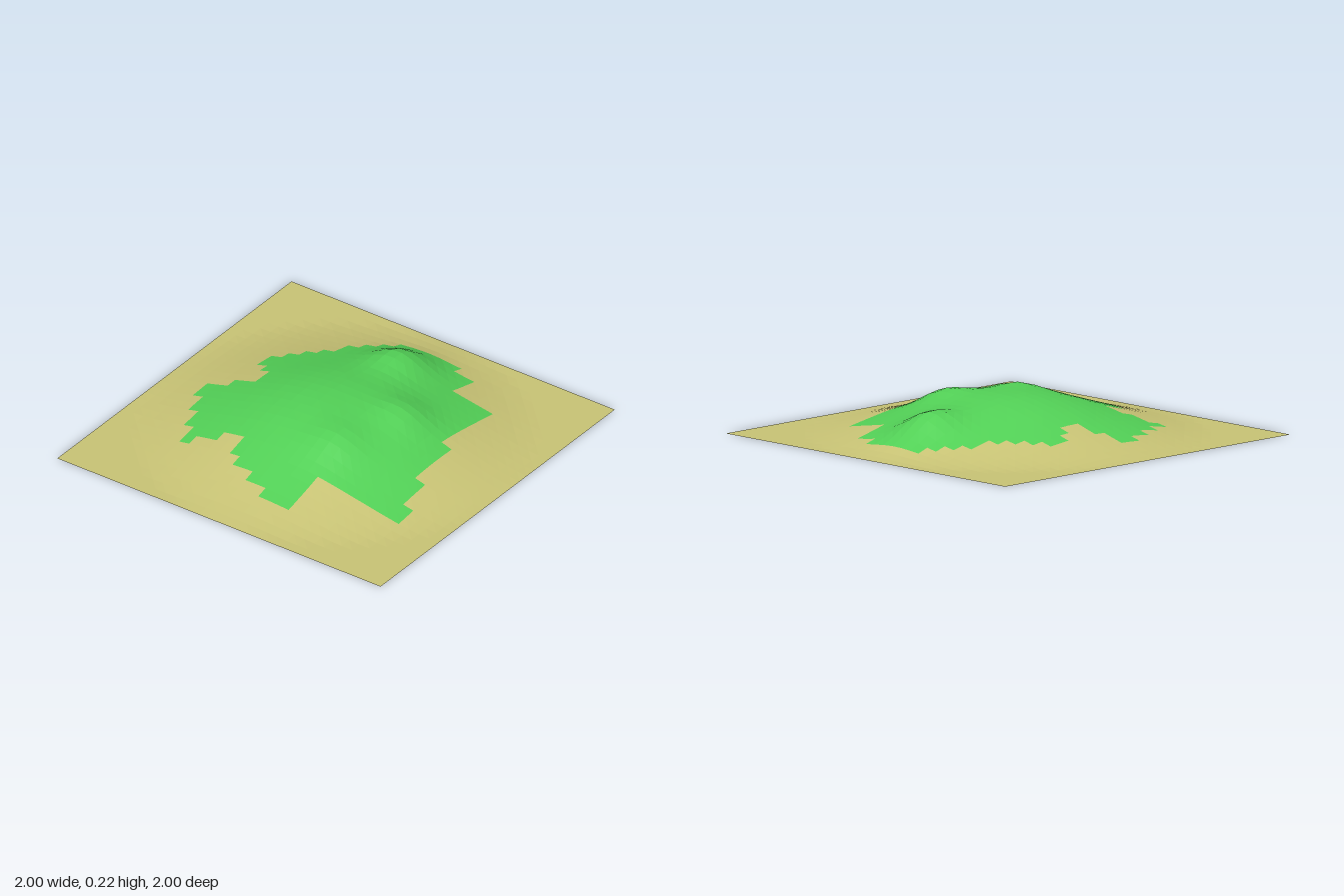
import * as THREE from 'three';

const N = 32, CELL = 2 / N;

// Dome height at every 0.1 of radius
const DOME = [0.215, 0.213, 0.2, 0.18, 0.152, 0.121, 0.091, 0.062, 0.036, 0.014, 0];

// Knolls on the dome: x, z, height, spread
const KNOLLS = [
  [0.58, -0.02, 0.088, 0.12],
  [-0.27, 0.2, 0.033, 0.1],
  [0.14, 0.33, 0.042, 0.1],
];

// Grass spans [from, to) in cells for rows 4 to 27, back to front
const GRASS = [
  [[13, 15]], [[11, 15]], [[9, 16], [19, 21]], [[7, 16], [18, 22]],
  [[8, 23]], [[8, 24]], [[9, 26]], [[9, 27]], [[7, 28]], [[6, 29]],
  [[6, 29]], [[5, 29]], [[5, 29]], [[4, 29]], [[4, 29]], [[4, 28]],
  [[8, 28]], [[8, 25]], [[8, 25]], [[8, 25]], [[8, 25]],
  [[8, 18]], [[8, 13]], [[8, 10]],
];

function heightAt(x, z) {
  const r = Math.min(Math.hypot(x, z), 0.9999) * 10;
  const i = Math.floor(r);
  let y = THREE.MathUtils.lerp(DOME[i], DOME[i + 1], r - i);
  if (Math.max(Math.abs(x), Math.abs(z)) > 0.999) return 0;
  for (const [cx, cz, h, s] of KNOLLS) {
    y += h * Math.exp(-((x - cx) ** 2 + (z - cz) ** 2) / (2 * s * s));
  }
  return y;
}

const isGrass = (col, row) =>
  (GRASS[row - 4] || []).some(([from, to]) => col >= from && col < to);

// Terrain sheet made of the grid cells that pass the test
function terrain(name, color, test) {
  const positions = [], index = [];
  for (let j = 0; j <= N; j++) {
    for (let i = 0; i <= N; i++) {
      const x = -1 + i * CELL, z = -1 + j * CELL;
      positions.push(x, heightAt(x, z), z);
    }
  }
  for (let j = 0; j < N; j++) {
    for (let i = 0; i < N; i++) {
      if (!test(i, j)) continue;
      const a = j * (N + 1) + i, b = a + 1, c = a + N + 1, d = c + 1;
      index.push(a, c, b, b, c, d);
    }
  }
  const geometry = new THREE.BufferGeometry();
  geometry.setAttribute('position', new THREE.Float32BufferAttribute(positions, 3));
  geometry.setIndex(index);
  geometry.computeVertexNormals();
  const material = new THREE.MeshStandardMaterial({ color, flatShading: true, side: THREE.DoubleSide });
  const mesh = new THREE.Mesh(geometry, material);
  mesh.name = name;
  return mesh;
}

export function createModel() {
  const group = new THREE.Group();
  group.name = 'island';
  group.add(terrain('sand', 0xc8c375, (i, j) => !isGrass(i, j)));
  group.add(terrain('grass', 0x52d056, isGrass));
  return group;
}
